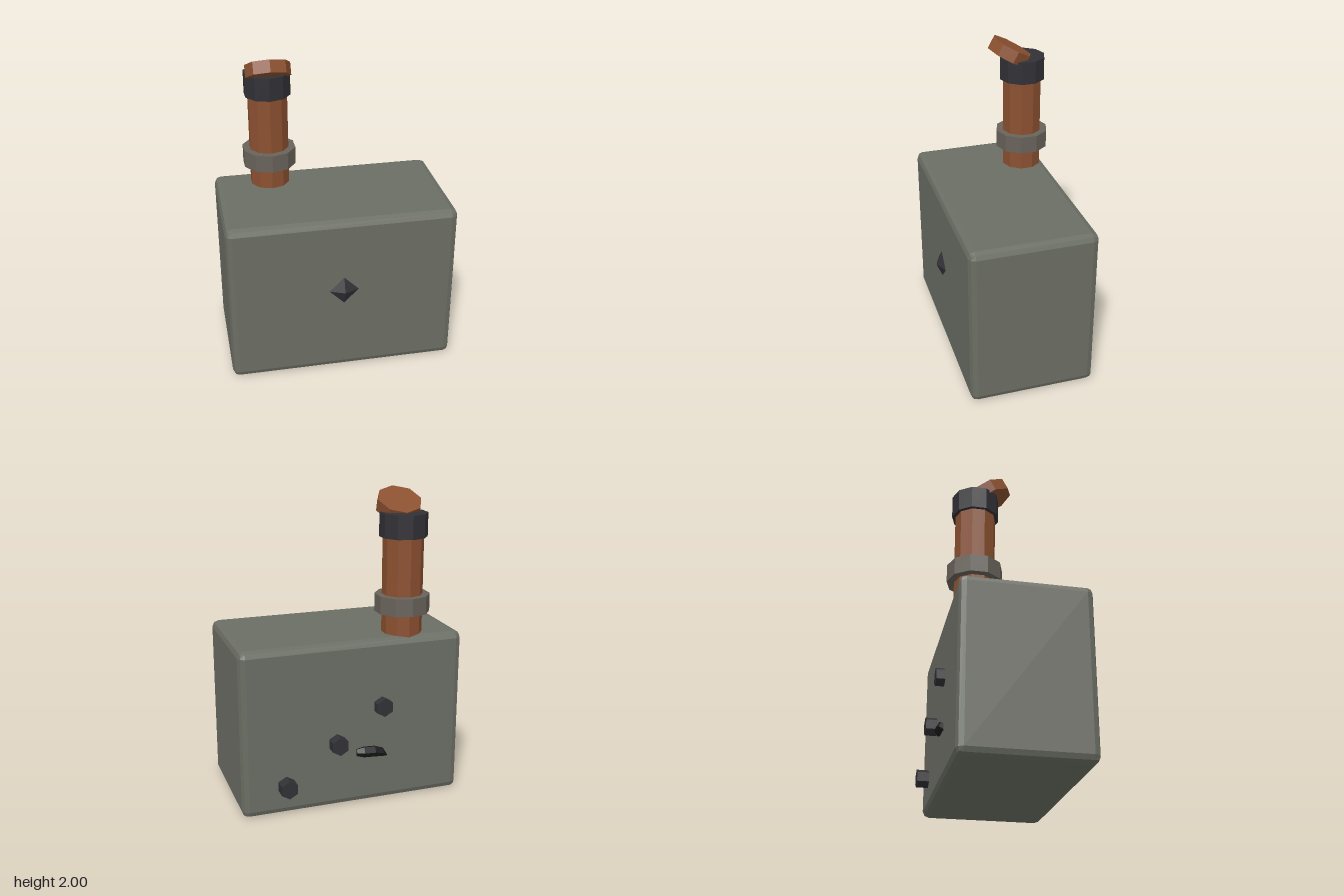
import * as THREE from 'three';
import { RoundedBoxGeometry } from 'three/addons/geometries/RoundedBoxGeometry.js';

const material = (color) => new THREE.MeshStandardMaterial({ color, flatShading: true });
const stone = material(0x6b6e64);
const copper = material(0x8b5030);
const iron = material(0x313136);
const steel = material(0x68625a);
const soot = material(0x1c1c1c);

export function createModel() {
  const model = new THREE.Group();
  model.name = 'boiler';

  const add = (name, geometry, mat, x, y, z) => {
    const mesh = new THREE.Mesh(geometry, mat);
    mesh.name = name;
    mesh.position.set(x, y, z);
    model.add(mesh);
    return mesh;
  };

  // Housing with chamfered edges
  add('housing', new RoundedBoxGeometry(1.47, 1.095, 0.815, 1, 0.042), stone, 0, 0.5475, 0.0175);

  // Chimney: ten-sided pipe, clamp ring and collar on one axis
  const sections = [
    ['chimneyPipe', 0.13, 1.05, 1.75, copper],
    ['clampRing', 0.176, 1.23, 1.345, steel],
    ['chimneyCollar', 0.152, 1.71, 1.86, iron],
  ];
  for (const [name, r, bottom, top, mat] of sections) {
    add(name, new THREE.CylinderGeometry(r, r, top - bottom, 10), mat, -0.372, (bottom + top) / 2, -0.242);
  }

  // Flap lid hinged at the back and lifted at the front
  const lid = add('chimneyLid', new THREE.CylinderGeometry(0.144, 0.144, 0.08, 8), copper, -0.372, 1.897, -0.155);
  lid.rotation.x = -0.5;

  // Diamond stud on the front
  const stud = add('frontStud', new THREE.OctahedronGeometry(0.095), iron, 0, 0.597, 0.425);
  stud.scale.z = 0.42;

  // Hexagonal bolts in a slanting row on the back: x, y, outer z
  for (const [x, y, z] of [[-0.187, 0.658, -0.445], [0.115, 0.44, -0.462], [0.452, 0.197, -0.468]]) {
    const bolt = add('backBolt', new THREE.CylinderGeometry(0.06, 0.06, 0.12, 6), iron, x, y, z + 0.06);
    bolt.rotation.x = Math.PI / 2;
  }

  // Small curved hook on the back: x, y and radius of each ring
  const rings = [[-0.015, 0.355, 0.026], [-0.064, 0.354, 0.04], [-0.138, 0.35, 0.04], [-0.195, 0.337, 0.032], [-0.23, 0.306, 0.004]];
  const hook = new THREE.CylinderGeometry(1, 1, 1, 6, rings.length - 1);
  const p = hook.attributes.position;
  for (let i = 0; i < p.count; i++) {
    const [x, y, r] = rings[Math.round((0.5 - p.getY(i)) * (rings.length - 1))];
    p.setXYZ(i, x, y - p.getX(i) * r, -0.385 + p.getZ(i) * r);
  }
  hook.computeVertexNormals();
  add('backHook', hook, soot, 0, 0, 0);

  return model;
}
